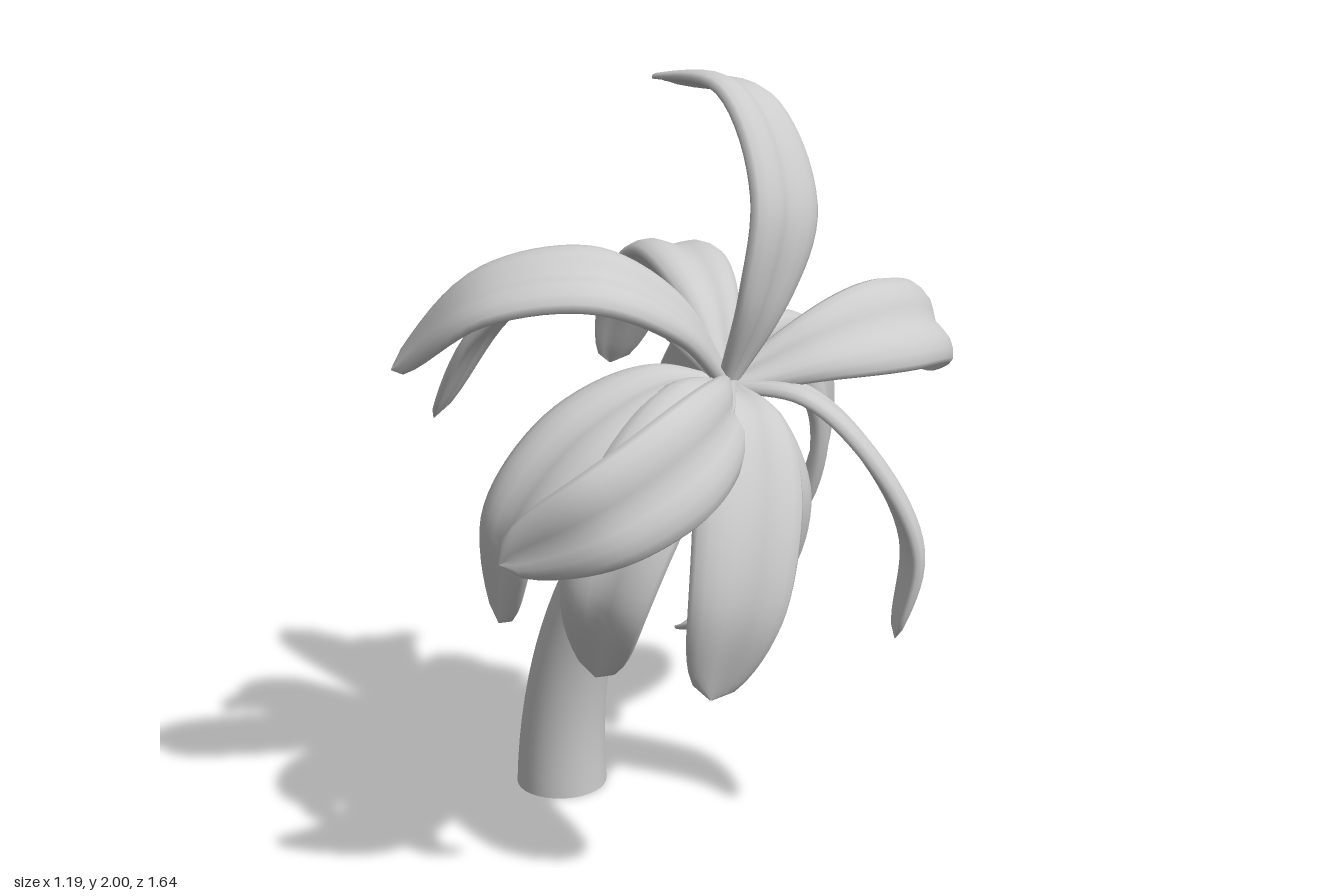
import * as THREE from 'three';

const V = (x, y, z) => new THREE.Vector3(x, y, z);
const leafMaterial = new THREE.MeshStandardMaterial({ color: 0xcccccc });
const trunkMaterial = new THREE.MeshStandardMaterial({ color: 0xcccccc, side: THREE.DoubleSide });
const CROWN = [0.17, 1.26, 0.055];

// Sweeps a closed cross-section along a curve; ring(t) returns [side, normal] offsets
function loft(curve, sideHint, roll, ring, segments) {
  const positions = [], index = [];
  let n = 0;
  for (let i = 0; i <= segments; i++) {
    const t = i / segments;
    const p = curve.getPoint(t), tangent = curve.getTangent(t);
    const side = sideHint.clone().addScaledVector(tangent, -sideHint.dot(tangent)).normalize();
    side.applyAxisAngle(tangent, roll);
    const normal = tangent.clone().cross(side);
    const section = ring(t);
    n = section.length;
    for (const [u, v] of section) {
      const q = p.clone().addScaledVector(side, u).addScaledVector(normal, v);
      positions.push(q.x, q.y, q.z);
    }
  }
  for (let i = 0; i < segments; i++) {
    for (let j = 0; j < n; j++) {
      const a = i * n + j, b = i * n + (j + 1) % n;
      index.push(a, b, a + n, b, b + n, a + n);
    }
  }
  const geometry = new THREE.BufferGeometry();
  geometry.setAttribute('position', new THREE.Float32BufferAttribute(positions, 3));
  geometry.setIndex(index);
  geometry.computeVertexNormals();
  return geometry;
}

// Leaf cross-section: two soft lobes with a groove between them and a shallower underside
const LEAF = [
  [1, -0.014], [0.94, 0.002], [0.75, 0.015], [0.5, 0.021], [0.25, 0.015], [0, 0.006],
  [-0.25, 0.015], [-0.5, 0.021], [-0.75, 0.015], [-0.94, 0.002], [-1, -0.014],
  [-0.94, -0.026], [-0.6, -0.016], [-0.25, -0.018], [0, -0.022],
  [0.25, -0.018], [0.6, -0.016], [0.94, -0.026],
];

// A leaf arching in the plane of its own bend, narrow at the crown and blunt at the tip
function leaf(points, halfWidth, roll = 0) {
  const pts = [CROWN, ...points].map((p) => V(...p));
  const mid = pts[2].clone().sub(pts[0]);
  const side = mid.cross(pts[4].clone().sub(pts[0])).normalize();
  const ring = (t) => {
    const end = Math.sqrt(Math.max(1 - t ** 5, 0.0004));
    const grow = 0.2 + 0.8 * Math.sin(Math.min(t / 0.55, 1) * Math.PI / 2);
    return LEAF.map(([u, v]) => [u * halfWidth * grow * end, v * (0.5 + 0.5 * grow) * end]);
  };
  return loft(new THREE.CatmullRomCurve3(pts), side, roll, ring, 32);
}

// Four points from the crown outwards, the half width and an optional roll about the spine
const LEAVES = {
  topLeaf: [[[0.255, 1.48, 0.01], [0.26, 1.71, -0.06], [0.09, 1.945, -0.115], [-0.23, 1.955, -0.135]], 0.128],
  backLeaf: [[[0.3, 1.34, -0.17], [0.35, 1.355, -0.41], [0.31, 1.305, -0.64], [0.13, 1.14, -0.82]], 0.135],
  frontLeaf: [[[0.33, 1.25, 0.25], [0.39, 1.195, 0.48], [0.33, 1.11, 0.69], [0.13, 1, 0.82]], 0.138],
  rightBackLeaf: [[[0.01, 1.45, -0.06], [-0.21, 1.51, -0.19], [-0.43, 1.36, -0.295], [-0.58, 1.1, -0.345]], 0.122],
  rightFrontLeaf: [[[0.0, 1.45, 0.13], [-0.22, 1.51, 0.21], [-0.43, 1.36, 0.28], [-0.59, 1.09, 0.33]], 0.125],
  raisedFrontLeaf: [[[0.13, 1.45, 0.19], [0.04, 1.57, 0.39], [-0.15, 1.535, 0.575], [-0.4, 1.32, 0.64]], 0.12],
  lowRightBackLeaf: [[[0.03, 1.29, -0.14], [-0.15, 1.19, -0.31], [-0.31, 1, -0.37], [-0.41, 0.77, -0.34]], 0.145, 0.4],
  lowFrontRightLeaf: [[[0.13, 1.3, 0.25], [0.05, 1.2, 0.49], [-0.03, 1, 0.63], [-0.1, 0.73, 0.6]], 0.13],
  lowFrontLeaf: [[[0.24, 1.28, 0.25], [0.28, 1.14, 0.49], [0.25, 0.89, 0.61], [0.16, 0.64, 0.54]], 0.13],
  lowFrontLeftLeaf: [[[0.32, 1.24, 0.17], [0.42, 1.08, 0.28], [0.46, 0.84, 0.37], [0.4, 0.6, 0.4]], 0.14],
  curledLeftLeaf: [[[0.25, 1.17, 0.05], [0.31, 0.95, 0.03], [0.22, 0.7, 0], [-0.05, 0.54, -0.02]], 0.143],
  lowLeftBackLeaf: [[[0.31, 1.24, -0.06], [0.44, 1.07, -0.18], [0.53, 0.83, -0.25], [0.52, 0.6, -0.19]], 0.115],
  lowBackLeaf: [[[0.2, 1.34, -0.14], [0.19, 1.18, -0.31], [0.12, 0.89, -0.365], [-0.03, 0.63, -0.31]], 0.105, 0.85],
};

export function createModel() {
  const model = new THREE.Group();
  model.name = 'palmTree';

  // Curved, tapering trunk, open underneath
  const spine = new THREE.CubicBezierCurve3(
    V(-0.42, 0, 0.055), V(-0.42, 0.6, 0.055), V(-0.1, 0.95, 0.055), V(0.17, 1.26, 0.055));
  const trunkRing = (t) => {
    const r = 0.125 - 0.085 * t;
    return Array.from({ length: 32 }, (_, i) => {
      const a = (i / 32) * Math.PI * 2;
      return [r * Math.cos(a), r * Math.sin(a)];
    });
  };
  const trunk = new THREE.Mesh(loft(spine, V(0, 0, 1), 0, trunkRing, 28), trunkMaterial);
  trunk.name = 'trunk';
  model.add(trunk);

  // Crown of drooping leaves
  const crown = new THREE.Group();
  crown.name = 'crown';
  for (const [name, [points, halfWidth, roll]] of Object.entries(LEAVES)) {
    const mesh = new THREE.Mesh(leaf(points, halfWidth, roll), leafMaterial);
    mesh.name = name;
    crown.add(mesh);
  }
  model.add(crown);
  return model;
}
